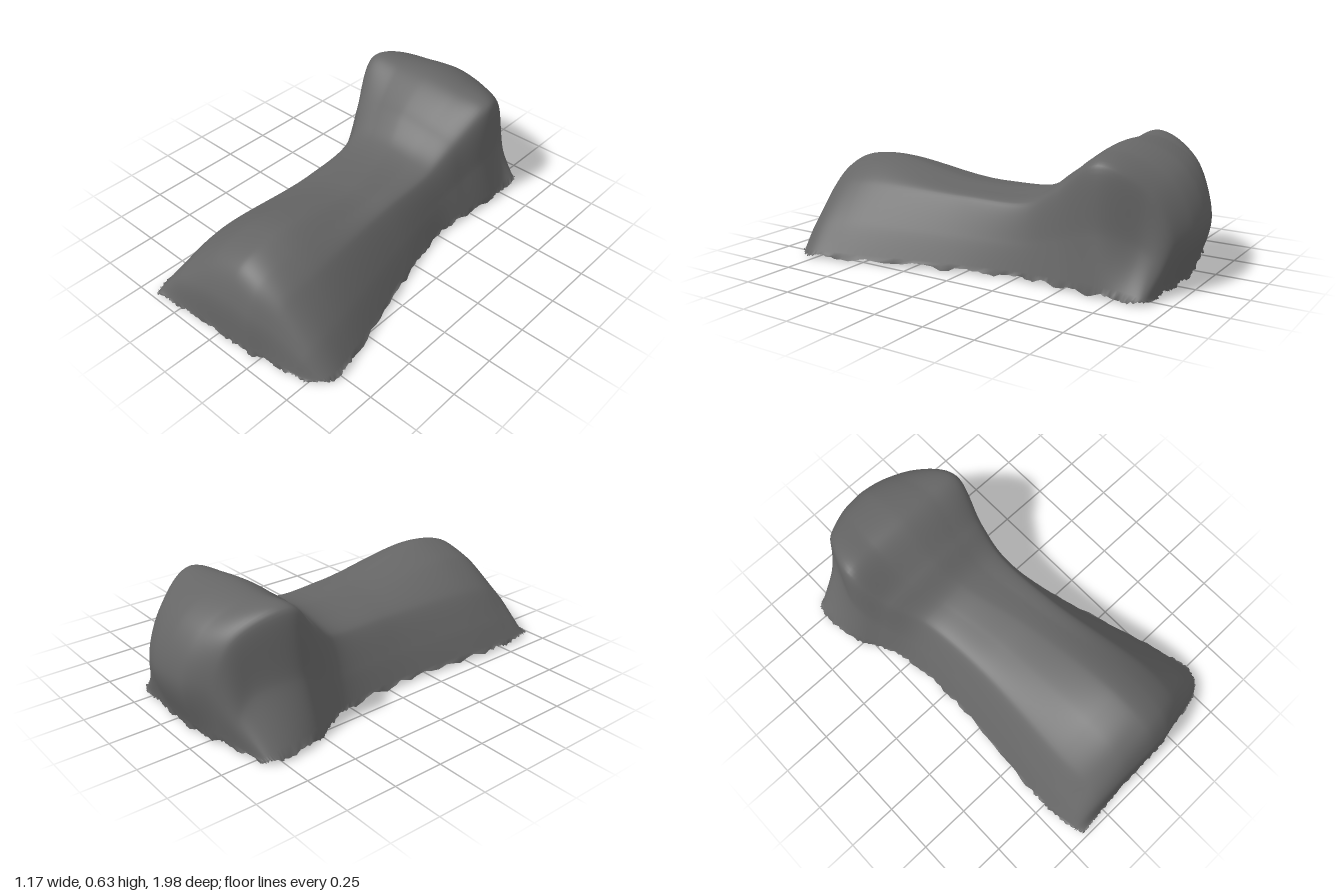
import * as THREE from 'three';

const { lerp, smoothstep } = THREE.MathUtils;
const NU = 84, NV = 130, HEM = 0.02;

// Stations from front hem to back hem: crest height and depth, shoulder height as a share of the crest
const crest = [[HEM, .945], [.26, .93], [.41, .85], [.465, .65], [.373, .1],
  [.385, -.25], [.5, -.41], [.635, -.63], [.54, -.89], [.3, -1], [HEM, -.92]];
const shoulderShare = [1, .7, .69, .695, .85, .87, .87, .935, .9, .93, 1];

// Each side at the same stations: hem x, hem z, shoulder x
const rightSide = [[-.4, .98, -.2], [-.42, .93, -.26], [-.44, .8, -.26], [-.44, .65, -.27], [-.405, .1, -.25],
  [-.43, -.25, -.29], [-.49, -.42, -.38], [-.555, -.54, -.445], [-.585, -.74, -.37], [-.57, -.8, -.32], [-.54, -.83, -.3]];
const leftSide = [[.5, .88, .3], [.56, .83, .32], [.58, .77, .32], [.555, .63, .32], [.39, .07, .24],
  [.315, -.27, .22], [.325, -.46, .24], [.345, -.67, .285], [.34, -.8, .2], [.335, -.88, .15], [.3, -.91, .12]];

// Hem, flank, shoulder and brow points of one side
function sidePoints([hemX, hemZ, shoulderX], k, sign, top) {
  const tilt = top.y > HEM ? 0.09 * sign * Math.cos(Math.PI * k / 12) : 0;
  const y = top.y * (shoulderShare[k] + tilt);
  // taller parts flare more at the foot, the back end most
  const flare = 0.4 + 1.1 * Math.max(0, y - 0.35) + (k > 7 ? 0.2 : 0);
  const shoulder = new THREE.Vector3(shoulderX, y, lerp(hemZ, top.z, 0.6));
  return [
    new THREE.Vector3(hemX, HEM, hemZ),
    new THREE.Vector3(lerp(hemX, shoulderX, flare), lerp(HEM, y, 0.47), lerp(hemZ, top.z, 0.3)),
    shoulder,
    new THREE.Vector3(lerp(shoulderX, top.x, 0.5), lerp(y, top.y, 0.7), lerp(shoulder.z, top.z, 0.8)),
  ];
}

// Guide curves running lengthwise, ordered from the right hem to the left hem
function makeRails() {
  const stations = crest.map(([y, z], k) => {
    const top = new THREE.Vector3(0.09 - 0.17 * smoothstep(k, 3, 6), y, z);
    return [...sidePoints(rightSide[k], k, -1, top), top, ...sidePoints(leftSide[k], k, 1, top).reverse()];
  });
  return stations[0].map((_, i) => new THREE.CatmullRomCurve3(stations.map(s => s[i])));
}

function seeded(seed) {
  return () => (seed = (seed * 16807) % 2147483647) / 2147483647;
}

function clothGeometry() {
  const rails = makeRails(), random = seeded(7);
  const positions = [], index = [];
  for (let j = 0; j <= NV; j++) {
    // a tight spline keeps the shoulders crisp
    const section = new THREE.CatmullRomCurve3(rails.map(r => r.getPoint(j / NV)), false, 'catmullrom', 0.36);
    for (let i = 0; i <= NU; i++) {
      const p = section.getPoint(i / NU);
      const endHem = j === 0 || j === NV, sideHem = i === 0 || i === NU;
      // ragged hem
      if (endHem || sideHem) p.y = HEM + 0.008 * Math.sin(37 * (p.x - p.z)) + 0.012 * (random() - 0.5);
      if (sideHem) p.x += 0.012 * (random() - 0.5);
      if (endHem) p.z += 0.012 * (random() - 0.5);
      positions.push(p.x, p.y, p.z);
      if (i < NU && j < NV) {
        const a = j * (NU + 1) + i, b = a + 1, c = a + NU + 1, d = c + 1;
        index.push(a, b, c, b, d, c);
      }
    }
  }
  const geometry = new THREE.BufferGeometry();
  geometry.setAttribute('position', new THREE.Float32BufferAttribute(positions, 3));
  geometry.setIndex(index);
  geometry.computeVertexNormals();
  return geometry;
}

export function createModel() {
  const group = new THREE.Group();
  group.name = 'drapedCloth';
  const clothGrey = new THREE.MeshStandardMaterial({ color: 0x666666, side: THREE.DoubleSide });
  clothGrey.name = 'clothGrey';
  const cloth = new THREE.Mesh(clothGeometry(), clothGrey);
  cloth.name = 'cloth';
  group.add(cloth);
  return group;
}
